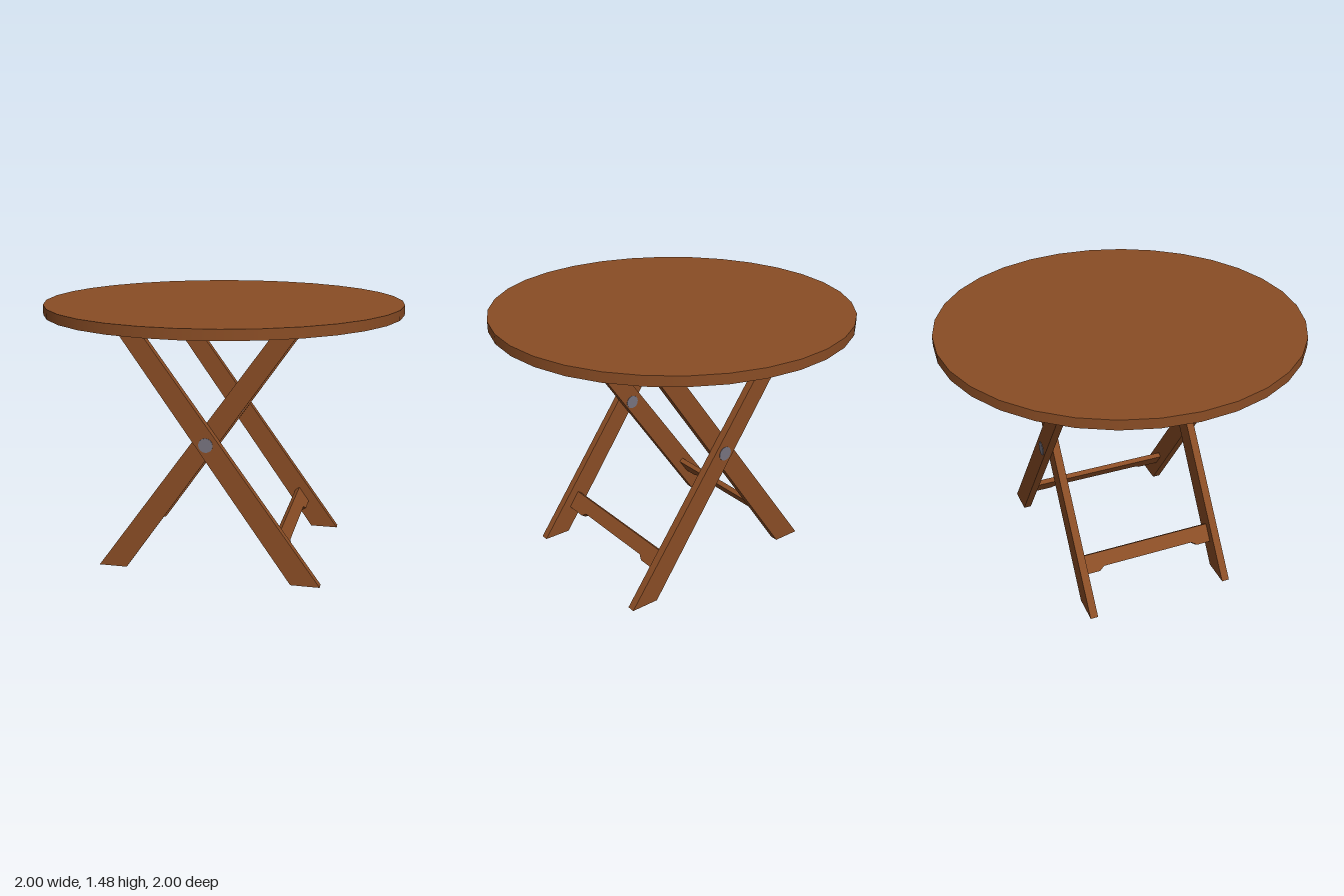
import * as THREE from 'three';

export function createModel() {
  const model = new THREE.Group();
  const wood = new THREE.MeshStandardMaterial({ name: 'brown wood', color: 0x8a4d25 });
  const steel = new THREE.MeshStandardMaterial({ name: 'grey metal', color: 0x77737f });

  const add = (name, geometry, material, parent = model) => {
    const mesh = new THREE.Mesh(geometry, material);
    mesh.name = name;
    parent.add(mesh);
    return mesh;
  };
  const extrude = (points, depth) => new THREE.ExtrudeGeometry(
    new THREE.Shape(points.map(([x, y]) => new THREE.Vector2(x, y))),
    { depth, bevelEnabled: false }
  ).translate(0, 0, -depth / 2);

  // Round table top
  add('tableTop', new THREE.CylinderGeometry(1, 1, 0.055, 32), wood).position.y = 1.4475;

  // Slanted legs, cut level at floor and top; side = x direction of the foot
  const legProfile = [[0.473, 0], [0.634, 0], [-0.393, 1.42], [-0.521, 1.42]];
  const legThickness = 0.044;
  const addLeg = (name, side, z) => {
    const points = legProfile.map(([x, y]) => [x * side, y]);
    add(name, extrude(points, legThickness), wood).position.z = z;
  };

  // Stretcher board between a pair of legs, tilted along them, with a relieved lower edge
  const lean = Math.atan2(0.71, 1);
  const addStretcher = (name, side, half) => {
    const top = 0.053, low = -0.053, relief = -0.031;
    const board = extrude([
      [-half, top], [-half, low], [-0.305, low], [-0.275, relief],
      [0.275, relief], [0.305, low], [half, low], [half, top],
    ], 0.03);
    board.applyMatrix4(new THREE.Matrix4().makeBasis(
      new THREE.Vector3(0, 0, -1),
      new THREE.Vector3(-Math.sin(lean), Math.cos(lean), 0),
      new THREE.Vector3(Math.cos(lean), Math.sin(lean), 0)
    ).setPosition(0.41, 0.198, 0));
    add(name, board, wood).rotation.y = side > 0 ? 0 : Math.PI;
  };

  // Outer frame has its feet at +x, inner frame at -x
  for (const [end, label] of [[1, 'front'], [-1, 'back']]) {
    addLeg(label + 'OuterLeg', 1, end * 0.456);
    addLeg(label + 'InnerLeg', -1, end * 0.411);

    // Pivot bolt through the crossing
    const bolt = new THREE.CylinderGeometry(0.04, 0.04, 0.094, 16).rotateX(Math.PI / 2);
    add(label + 'PivotBolt', bolt, steel).position.set(0.003, 0.762, end * 0.434);
  }
  addStretcher('outerStretcher', 1, 0.435);
  addStretcher('innerStretcher', -1, 0.39);

  return model;
}
